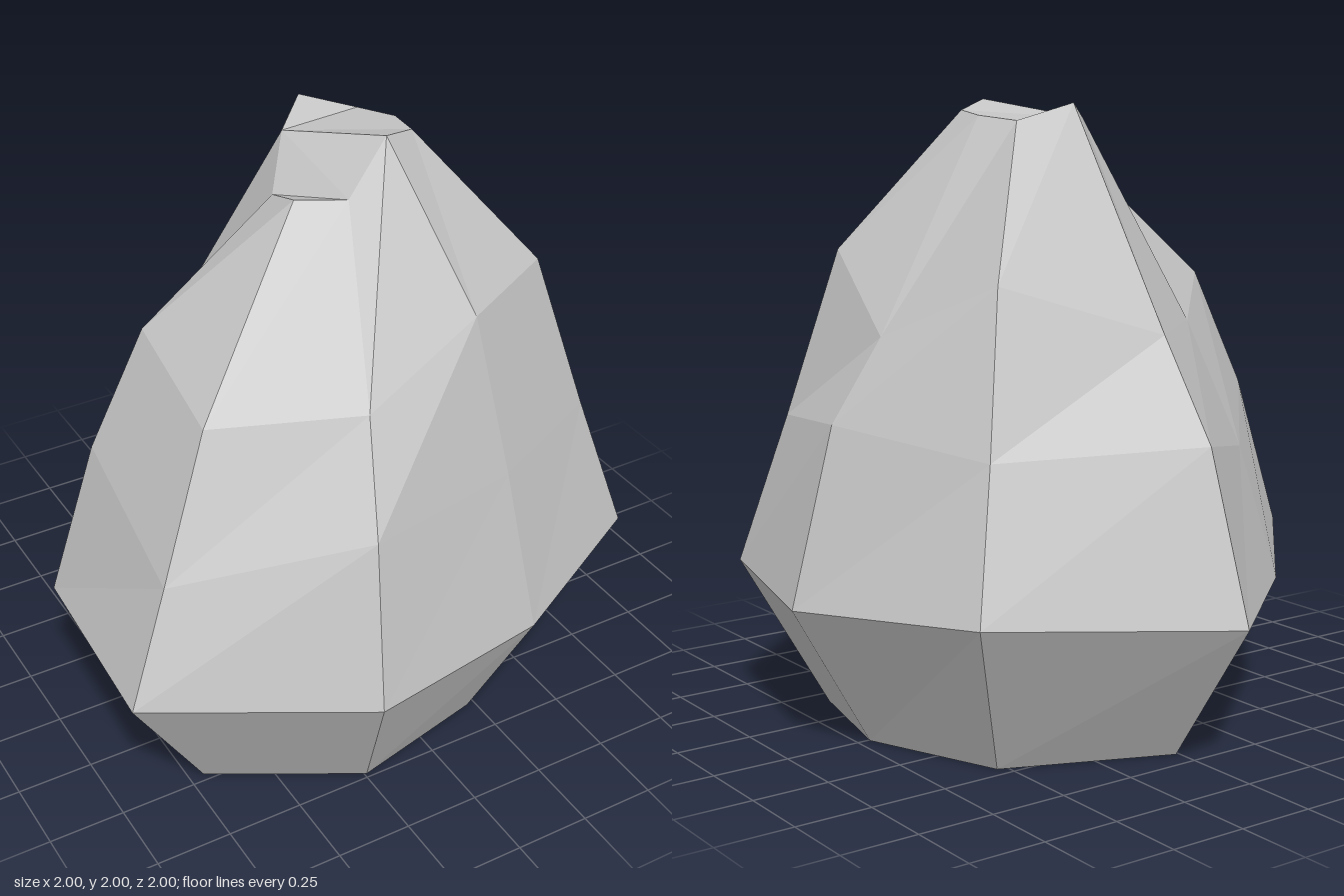
import * as THREE from 'three';

// Faceted boulder: nine-sided cross-sections from ground to summit, [x, y, z].
const BELLY = [
  [0.01, 0.47, -1.0], [0.75, 0.52, -0.69], [1.0, 0.48, -0.05],
  [0.865, 0.5, 0.55], [0.31, 0.465, 0.84], [-0.35, 0.52, 1.0],
  [-1.0, 0.52, 0.63], [-0.96, 0.51, -0.05], [-0.56, 0.44, -0.5],
];
const MIDDLE = [
  [0.01, 0.99, -0.82], [0.63, 0.97, -0.57], [0.84, 1.03, -0.03],
  [0.715, 0.98, 0.48], [0.26, 1.0, 0.72], [-0.295, 1.03, 0.86],
  [-0.84, 0.87, 0.55], [-0.8, 1.02, -0.03], [-0.47, 0.88, -0.41],
];
const SHOULDER = [
  [0.01, 1.3, -0.6], [0.49, 1.46, -0.41], [0.645, 1.28, 0.0],
  [0.56, 1.52, 0.4], [0.2, 1.515, 0.595], [-0.22, 1.35, 0.68],
  [-0.64, 1.3, 0.44], [-0.62, 1.41, 0.0], [-0.35, 1.29, -0.28],
];
const SUMMIT = [
  [0.01, 1.99, -0.14], [0.18, 1.935, -0.07], [0.23, 1.95, 0.07],
  [0.205, 1.965, 0.205], [0.075, 2.0, 0.27], [-0.07, 1.84, 0.3],
  [-0.21, 1.84, 0.22], [-0.2, 1.79, 0.07], [-0.11, 1.94, -0.03],
];
// Summit facets, including the step down to the notched ledge.
const CAP = [[8, 1, 0], [8, 2, 1], [8, 3, 2], [8, 4, 3], [8, 5, 4], [8, 7, 5], [7, 6, 5]];

export function createModel() {
  const stone = new THREE.MeshStandardMaterial({ color: 0xc4c4c4, flatShading: true });
  stone.name = 'stone grey';

  // The foot is the belly outline drawn inward onto the ground.
  const foot = BELLY.map(([x, , z]) => [x * 0.705 + 0.004, 0, z * 0.705 + 0.03]);
  const rings = [foot, BELLY, MIDDLE, SHOULDER, SUMMIT];
  const n = BELLY.length;
  const positions = [];
  const triangle = (a, b, c) => positions.push(...a, ...b, ...c);

  // Sides
  for (let r = 0; r < rings.length - 1; r++) {
    const low = rings[r], high = rings[r + 1];
    for (let i = 0; i < n; i++) {
      const j = (i + 1) % n;
      triangle(low[j], low[i], high[i]);
      triangle(low[j], high[i], high[j]);
    }
  }
  // Underside
  for (let i = 1; i < n - 1; i++) triangle(foot[0], foot[i], foot[i + 1]);
  // Summit
  for (const [a, b, c] of CAP) triangle(SUMMIT[a], SUMMIT[b], SUMMIT[c]);

  const geometry = new THREE.BufferGeometry();
  geometry.setAttribute('position', new THREE.Float32BufferAttribute(positions, 3));
  geometry.computeVertexNormals();

  const boulder = new THREE.Mesh(geometry, stone);
  boulder.name = 'boulder';
  const model = new THREE.Group();
  model.name = 'rock';
  model.add(boulder);
  return model;
}
